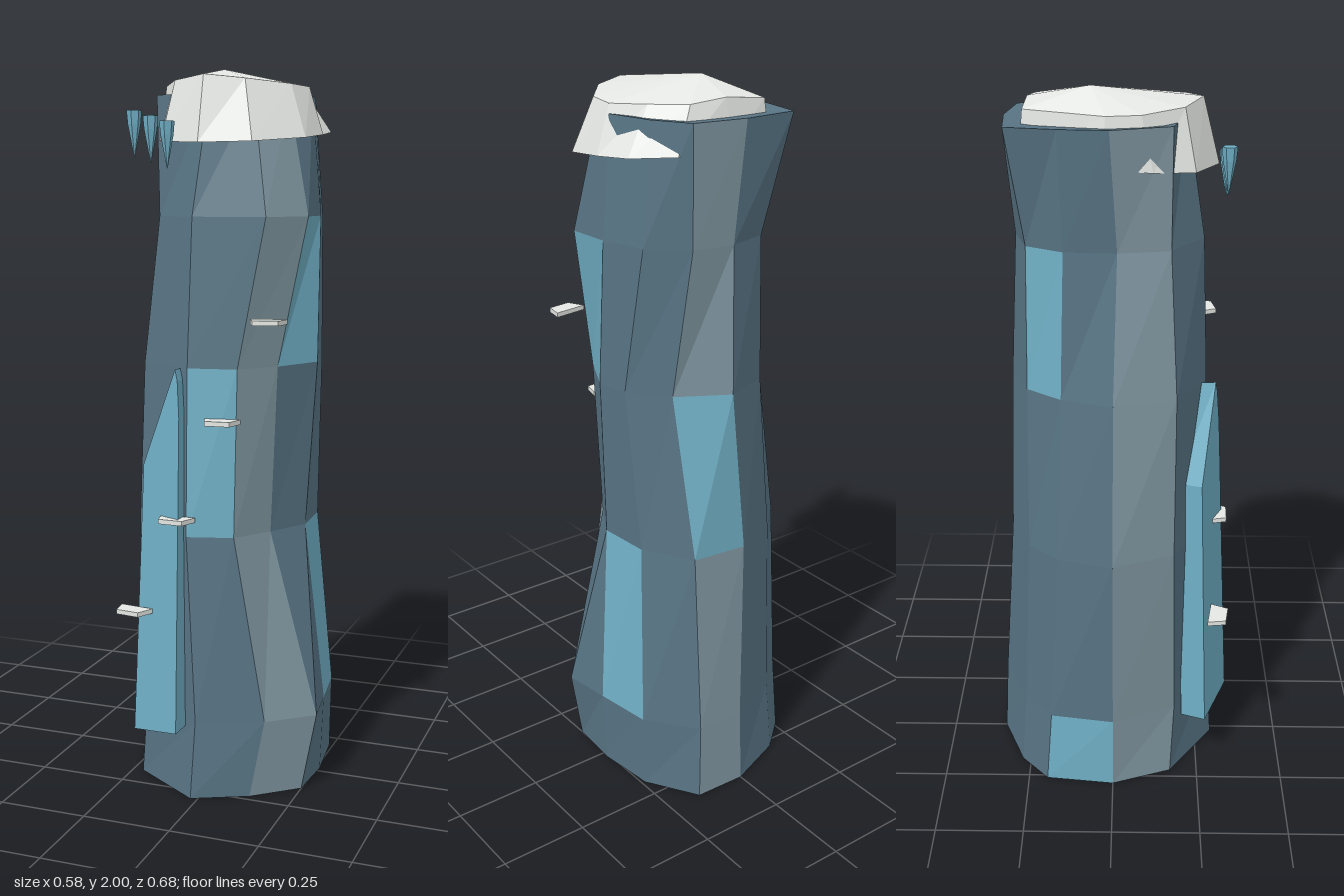
import * as THREE from 'three';

const mat = (name, color) => {
  const m = new THREE.MeshStandardMaterial({ color });
  m.name = name;
  return m;
};

// Cross-sections of the rock: height, then x,z pairs running from the front towards +x
const ROCK = [
  [0, -.02, .30, .13, .23, .25, .13, .26, -.02, .24, -.19, .15, -.335, 0, -.34, -.17, -.275, -.262, -.195, -.285, 0, -.22, .17],
  [.22, -.01, .285, .17, .22, .29, .12, .27, -.02, .245, -.19, .14, -.325, 0, -.33, -.16, -.26, -.255, -.18, -.285, 0, -.2, .18],
  [.74, -.04, .27, .085, .235, .155, .13, .22, .015, .21, -.14, .13, -.28, -.03, -.295, -.165, -.238, -.25, -.155, -.295, 0, -.22, .17],
  [1.2, -.04, .255, .095, .235, .175, .135, .245, -.005, .23, -.1, .15, -.205, .01, -.285, -.125, -.235, -.2, -.14, -.25, 0, -.2, .17],
  [1.6, -.03, .24, .165, .21, .247, .10, .243, -.03, .21, -.16, .12, -.25, 0, -.265, -.12, -.23, -.175, -.13, -.185, .01, -.16, .15],
  [1.92, 0, .19, .11, .15, .18, .07, .216, -.03, .186, -.16, .13, -.262, -.02, -.285, -.18, -.275, -.205, -.14, -.215, -.01, -.165, .15],
];

// Cross-sections of the snow cap
const SNOW = [
  [1.815, 0, .275, .14, .25, .24, .11, .25, -.02, .238, -.14, .155, -.235, 0, -.245, -.13, -.24, -.195, -.03, -.18, .1, -.13, .21],
  [1.95, 0, .23, .1, .19, .19, .08, .21, -.02, .16, -.115, .1, -.21, 0, -.225, -.12, -.23, -.18, -.02, -.17, .07, -.1, .18],
];

// Lofts the rings into flat facets, sorted into one mesh per material
function loft(rings, top, bottom, pick, names) {
  const sections = rings.map(([y, ...p]) =>
    Array.from({ length: p.length / 2 }, (_, i) => new THREE.Vector3(p[2 * i], y, p[2 * i + 1])));
  const n = sections[0].length;
  const buckets = new Map();
  const tri = (m, ...pts) => {
    if (!buckets.has(m)) buckets.set(m, []);
    buckets.get(m).push(...pts);
  };
  for (let i = 0; i < n; i++) {
    const k = (i + 1) % n;
    for (let j = 0; j < sections.length - 1; j++) {
      const a = sections[j], b = sections[j + 1], m = pick(j, i);
      tri(m, a[i], a[k], b[k]);
      tri(m, a[i], b[k], b[i]);
    }
    const last = sections[sections.length - 1];
    tri(pick(-1, i), last[i], last[k], top);
    tri(pick(-1, i), sections[0][k], sections[0][i], bottom);
  }
  const group = new THREE.Group();
  for (const [m, pts] of buckets) {
    const g = new THREE.BufferGeometry().setFromPoints(pts);
    g.computeVertexNormals();
    const mesh = new THREE.Mesh(g, m);
    mesh.name = names.get(m);
    group.add(mesh);
  }
  return group;
}

function slab(points, depth) {
  const shape = new THREE.Shape(points.map(([x, y]) => new THREE.Vector2(x, y)));
  return new THREE.ExtrudeGeometry(shape, { depth, bevelEnabled: false });
}

export function createModel() {
  const rock = mat('slateRock', 0x587484);
  const vein = mat('greyRock', 0x7d939d);
  const ice = mat('ice', 0x70afc5);
  const snow = mat('snow', 0xe4e7e3);
  const model = new THREE.Group();
  model.name = 'icyRockPillar';

  // Pillar with grey columns and scattered ice facets (level:side)
  const iceFacets = new Set(['0:8', '1:3', '2:0', '2:5', '3:2', '3:7']);
  const pillar = loft(ROCK, new THREE.Vector3(0, 1.9, 0), new THREE.Vector3(0, 0, 0),
    (j, i) => (iceFacets.has(`${j}:${i}`) ? ice : j >= 0 && i % 4 === 1 ? vein : rock),
    new Map([[rock, 'rockFacets'], [vein, 'greyColumns'], [ice, 'iceFacets']]));
  pillar.name = 'pillar';
  model.add(pillar);

  // Snow cap: the rim hangs lower at the front, the crown slopes to the sides
  const cap = loft(SNOW, new THREE.Vector3(-.05, 2, -.06), new THREE.Vector3(0, 1.83, 0),
    () => snow, new Map([[snow, 'snowSurface']]));
  cap.name = 'snowCap';
  const capGeometry = cap.children[0].geometry;
  const pos = capGeometry.attributes.position;
  for (let i = 0; i < pos.count; i++) {
    const y = pos.getY(i);
    if (y < 1.82) pos.setY(i, y - .09 * pos.getZ(i));
    else if (y > 1.9 && y < 1.96) pos.setY(i, 1.965 - .1 * Math.abs(pos.getX(i)));
  }
  capGeometry.computeVertexNormals();
  model.add(cap);

  // Leaning ice blade on the front, narrowing towards the back on its left side
  const bladeGeometry = slab(
    [[-.085, 0], [.082, .03], [.062, .9], [.052, 1.0], [.042, 1.03], [-.072, .76]], .075).translate(0, 0, -.075);
  const edge = bladeGeometry.attributes.position;
  for (let i = 0; i < edge.count; i++) {
    if (edge.getX(i) > 0 && edge.getZ(i) < -.01) edge.setX(i, edge.getX(i) - .035);
  }
  bladeGeometry.computeVertexNormals();
  const blade = new THREE.Mesh(bladeGeometry, ice);
  blade.name = 'iceBlade';
  blade.rotation.set(-.045, -.42, 0, 'YXZ');
  blade.position.set(-.122, .17, .306);
  model.add(blade);

  // Small snow ledges climbing the front
  const ledges = [[-.188, .525, .3, -.14], [-.063, .79, .295, -.03], [.057, 1.06, .265, .06], [.185, 1.33, .255, .17]];
  ledges.forEach(([x, y, z, turn], i) => {
    const g = slab([[-.05, .024], [.05, .024], [.033, -.027], [-.036, -.027]], .013);
    g.rotateX(-Math.PI / 2);
    const ledge = new THREE.Mesh(g, snow);
    ledge.name = `snowLedge${i + 1}`;
    ledge.position.set(x, y - .0065, z);
    ledge.rotation.y = turn;
    model.add(ledge);
  });

  // Row of icicles near the top
  for (let i = 0; i < 3; i++) {
    const icicle = new THREE.Group();
    icicle.name = `icicle${i + 1}`;
    const root = new THREE.CylinderGeometry(.02, .017, .035, 6).toNonIndexed();
    const tip = new THREE.CylinderGeometry(.017, .001, .085, 6).toNonIndexed();
    tip.translate(0, -.06, 0);
    [['icicleRoot', root], ['icicleTip', tip]].forEach(([name, g]) => {
      g.computeVertexNormals();
      const mesh = new THREE.Mesh(g, ice);
      mesh.name = name;
      icicle.add(mesh);
    });
    icicle.position.set(-.17 + .046 * i, 1.855 - .014 * i, .29);
    model.add(icicle);
  }
  return model;
}
